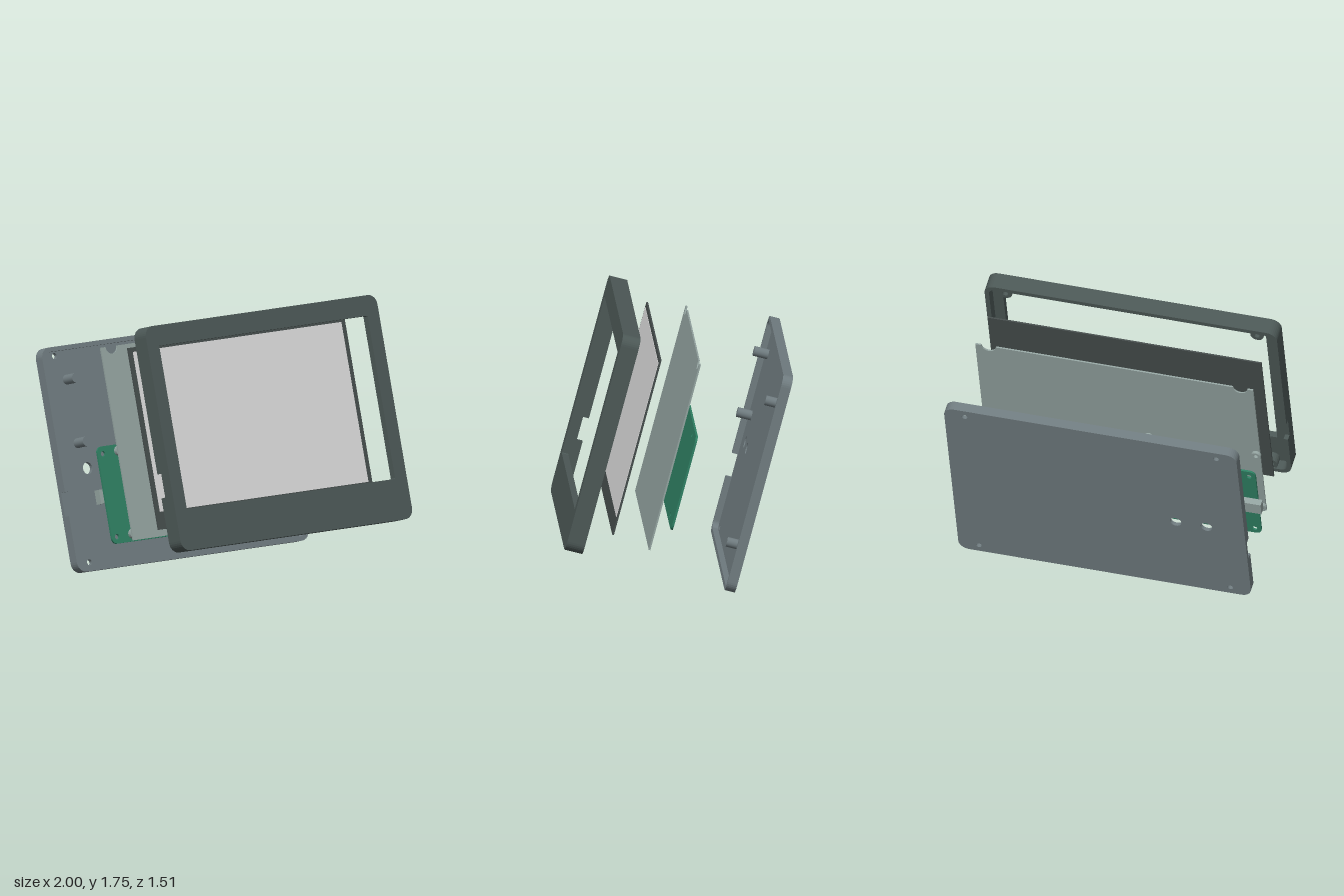
import * as THREE from 'three';

const mat = (name, color) => Object.assign(new THREE.MeshStandardMaterial({ color }), { name });

// Rounded rectangle outline, counter-clockwise, starting and ending on the left side
function roundRect(x0, y0, x1, y1, r, seg = 8) {
  const pts = [];
  const centres = [[x0 + r, y0 + r], [x1 - r, y0 + r], [x1 - r, y1 - r], [x0 + r, y1 - r]];
  centres.forEach(([cx, cy], i) => {
    for (let k = 0; k <= seg; k++) {
      const a = Math.PI * (1 + i / 2 + k / seg / 2);
      pts.push(new THREE.Vector2(cx + r * Math.cos(a), cy + r * Math.sin(a)));
    }
  });
  return pts;
}

function circle(cx, cy, r, seg = 20) {
  return Array.from({ length: seg }, (_, i) => {
    const a = (i / seg) * Math.PI * 2;
    return new THREE.Vector2(cx + r * Math.cos(a), cy + r * Math.sin(a));
  });
}

// Wall ring outline opened by a gap on the left side between heights g0 and g1
function openRing(outer, inner, x, t, g0, g1) {
  const p = (a, b) => new THREE.Vector2(a, b);
  return [p(x, g0), ...outer, p(x, g1), p(x + t, g1), ...[...inner].reverse(), p(x + t, g0)];
}

export function createModel() {
  const model = new THREE.Group();
  model.name = 'explodedDisplayCase';

  const frameMat = mat('dark frame grey', 0x4c5856);
  const shellMat = mat('back shell grey', 0x707c80);
  const sheetMat = mat('metal grey', 0x93a3a0);
  const panelMat = mat('panel dark grey', 0x454d4c);
  const screenMat = mat('screen light grey', 0xdadada);
  const boardMat = mat('board green', 0x2f8063);
  const jackMat = mat('jack dark grey', 0x3c4746);

  // All layers share one tilted frame: x across, y up the slope, z out of the screen
  const tilt = new THREE.Group();
  tilt.name = 'tiltedLayers';
  tilt.rotation.x = -Math.PI / 12;
  tilt.position.y = -0.005;
  model.add(tilt);

  const layer = (name) => {
    const g = new THREE.Group();
    g.name = name;
    tilt.add(g);
    return g;
  };
  // Plate with an outline and holes, between depths z0 and z1
  function plate(parent, name, material, outline, holes, z0, z1) {
    const shape = new THREE.Shape(outline);
    holes.forEach((h) => shape.holes.push(new THREE.Path(h)));
    const geo = new THREE.ExtrudeGeometry(shape, { depth: z1 - z0, bevelEnabled: false });
    const mesh = new THREE.Mesh(geo, material);
    mesh.name = name;
    mesh.position.z = z0;
    parent.add(mesh);
  }
  function box(parent, name, material, x0, x1, y0, y1, z0, z1) {
    const mesh = new THREE.Mesh(new THREE.BoxGeometry(x1 - x0, y1 - y0, z1 - z0), material);
    mesh.name = name;
    mesh.position.set((x0 + x1) / 2, (y0 + y1) / 2, (z0 + z1) / 2);
    parent.add(mesh);
  }
  function peg(parent, name, material, x, y, r, z0, z1) {
    const mesh = new THREE.Mesh(new THREE.CylinderGeometry(r, r, z1 - z0, 24).rotateX(Math.PI / 2), material);
    mesh.name = name;
    mesh.position.set(x, y, (z0 + z1) / 2);
    parent.add(mesh);
  }

  const outer = roundRect(-1, 0.1, 1, 1.6, 0.07);
  const inner = roundRect(-0.97, 0.13, 0.97, 1.57, 0.045);
  const screws = [[-0.86, 0.16], [0.86, 0.16], [-0.86, 1.54], [0.86, 1.54]];

  // Front frame: face with window, walls, port gap, screw posts and grooved lower ledge
  const frame = layer('frontFrame');
  plate(frame, 'frameFace', frameMat, outer, [roundRect(-0.9, 0.373, 0.9, 1.465, 0.005, 1)], 0.765, 0.81);
  plate(frame, 'frameWall', frameMat, outer, [inner], 0.73, 0.765);
  plate(frame, 'frameRim', frameMat, openRing(outer, inner, -1, 0.03, 0.47, 0.63), [], 0.69, 0.73);
  screws.forEach(([x, y]) =>
    plate(frame, 'framePost', frameMat, circle(x, y, 0.045), [circle(x, y, 0.02)], 0.7, 0.765));
  plate(frame, 'lowerLedge', frameMat, roundRect(-0.78, 0.125, 0.78, 0.27, 0.01, 2),
    [roundRect(-0.7, 0.18, -0.08, 0.22, 0.019), roundRect(0.08, 0.18, 0.7, 0.22, 0.019)], 0.735, 0.765);

  // Display panel with its visible screen area
  const display = layer('displayPanel');
  box(display, 'panel', panelMat, -0.935, 0.935, 0.274, 1.49, 0.518, 0.529);
  box(display, 'screen', screenMat, -0.9, 0.9, 0.39, 1.46, 0.529, 0.532);

  // Metal backing sheet, notched at the top for the screw posts
  const sheet = layer('backingSheet');
  const sheetPts = [[-0.95, 0.239], [0.95, 0.239], [0.95, 1.528]].map(([x, y]) => new THREE.Vector2(x, y));
  for (const cx of [0.86, -0.86]) {
    for (let k = 0; k <= 10; k++) {
      const a = (-Math.PI * k) / 10;
      sheetPts.push(new THREE.Vector2(cx + 0.05 * Math.cos(a), 1.528 + 0.05 * Math.sin(a)));
    }
  }
  sheetPts.push(new THREE.Vector2(-0.95, 1.528));
  plate(sheet, 'sheet', sheetMat, sheetPts, [], 0.26, 0.271);

  // Circuit board, with matching standoffs on the sheet
  const board = layer('circuitBoard');
  const mounts = [[-0.925, 0.285], [-0.925, 0.84], [-0.19, 0.285], [-0.19, 0.84]];
  plate(board, 'board', boardMat, roundRect(-0.97, 0.24, 0.11, 0.89, 0.04),
    mounts.map(([x, y]) => circle(x, y, 0.018)), 0.066, 0.08);
  mounts.forEach(([x, y]) =>
    plate(sheet, 'standoff', sheetMat, circle(x, y, 0.033), [circle(x, y, 0.016)], 0.238, 0.26));

  // Components on the rear of the board
  box(board, 'sidePort', sheetMat, -1, -0.87, 0.515, 0.61, 0.018, 0.066);
  for (const x of [-0.74, -0.53]) box(board, 'button', sheetMat, x - 0.03, x + 0.03, 0.738, 0.798, 0.034, 0.066);
  box(board, 'lowerJack', jackMat, -0.8, -0.72, 0.295, 0.338, 0.04, 0.066);

  // Back shell: floor with screw and button holes, low wall with port gap, support posts
  const shell = layer('backShell');
  const holes = screws.map(([x, y]) => circle(x, y, 0.02));
  for (const x of [-0.74, -0.53]) holes.push(circle(x, 0.777, 0.04));
  plate(shell, 'shellFloor', shellMat, outer, holes, -0.352, -0.326);
  plate(shell, 'shellWall', shellMat, openRing(outer, inner, -1, 0.03, 0.48, 0.64), [], -0.326, -0.285);
  [[-0.79, 1.375], [-0.79, 0.95], [0.79, 1.375], [0.79, 0.39]].forEach(([x, y]) =>
    peg(shell, 'supportPost', shellMat, x, y, 0.033, -0.326, -0.228));

  return model;
}
